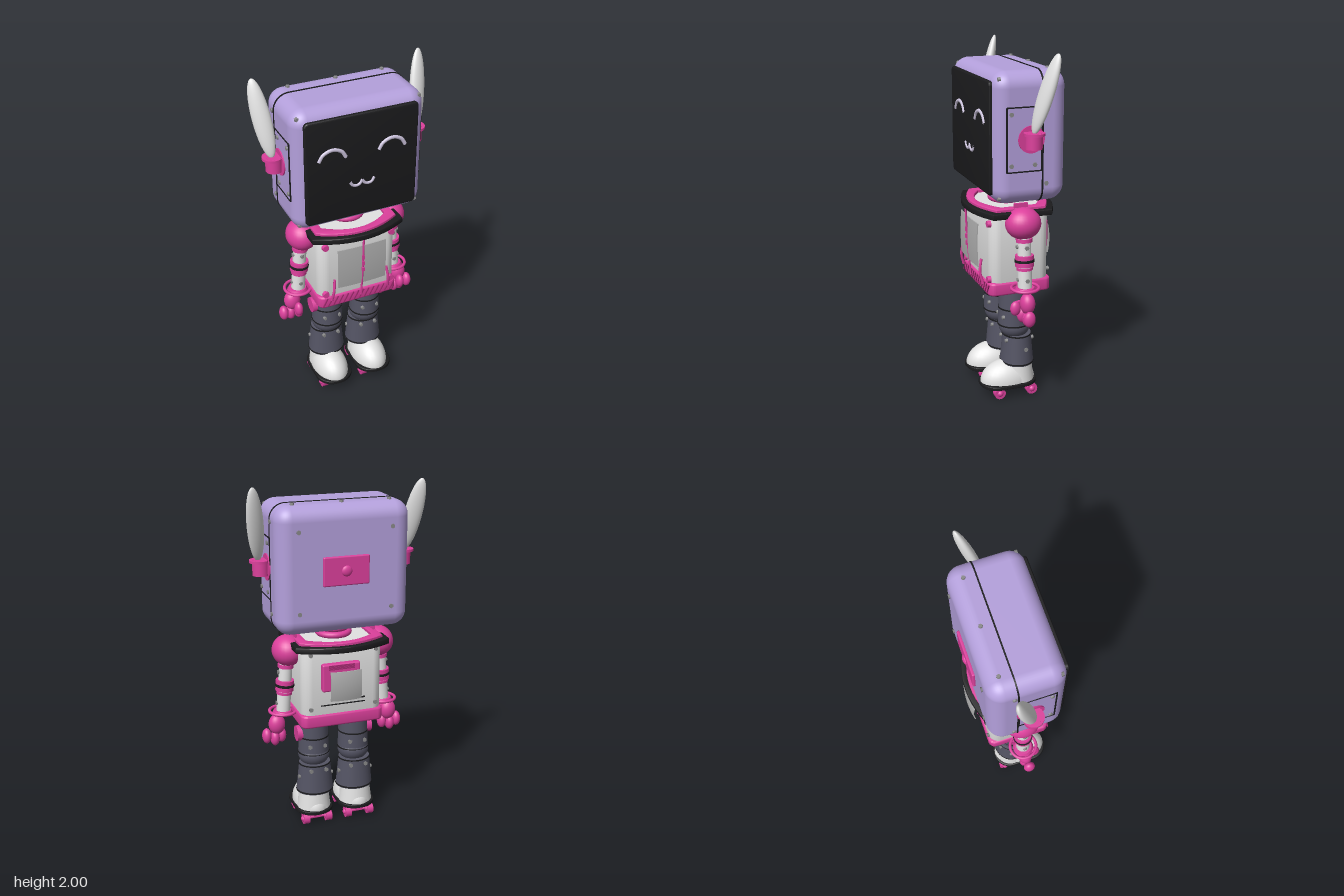
import * as THREE from 'three';
import { toCreasedNormals } from 'three/addons/utils/BufferGeometryUtils.js';
import { RoundedBoxGeometry } from 'three/addons/geometries/RoundedBoxGeometry.js';

const mat = (name, color) => {
  const m = new THREE.MeshStandardMaterial({ color, side: THREE.DoubleSide });
  m.name = name;
  return m;
};

export function createModel() {
  const root = new THREE.Group();
  root.name = 'robot';
  const lavender = mat('lavender', 0xb4a0dc), pink = mat('pink', 0xdc409c), black = mat('black', 0x1c1c1e),
    white = mat('white', 0xe2e2e2), grey = mat('panel grey', 0xb0b0b0), slate = mat('slate', 0x545464),
    steel = mat('steel', 0x8a8a8a), pale = mat('pale lilac', 0xcfc6e0), rose = mat('dark pink', 0xa82c74);

  const add = (name, geo, m, x = 0, y = 0, z = 0, parent = root) => {
    const mesh = new THREE.Mesh(geo, m);
    mesh.name = name;
    mesh.position.set(x, y, z);
    parent.add(mesh);
    return mesh;
  };
  const cyl = (rt, rb, h, n = 28) => new THREE.CylinderGeometry(rt, rb, h, n);
  const box = (w, h, d) => new THREE.BoxGeometry(w, h, d);
  const ball = (rx, ry = rx, rz = rx) => new THREE.SphereGeometry(1, 28, 18).scale(rx, ry, rz);

  // Rounded rectangle outline centred on the origin
  const roundRect = (w, h, r, T = THREE.Shape) => {
    const s = new T(), a = w / 2 - r, b = h / 2 - r;
    s.absarc(a, b, r, 0, Math.PI / 2);
    s.absarc(-a, b, r, Math.PI / 2, Math.PI);
    s.absarc(-a, -b, r, Math.PI, Math.PI * 1.5);
    s.absarc(a, -b, r, Math.PI * 1.5, Math.PI * 2);
    s.closePath();
    return s;
  };
  // Extrusion along z, centred
  const extrude = (shape, t, bevel = 0) => {
    const g = new THREE.ExtrudeGeometry(shape, { depth: t - 2 * bevel, curveSegments: 12, bevelEnabled: bevel > 0,
      bevelSize: bevel, bevelThickness: bevel, bevelOffset: -bevel, bevelSegments: 3 });
    return toCreasedNormals(g.translate(0, 0, -t / 2 + bevel), 0.6);
  };
  // Extrusion along y, centred
  const slab = (shape, t, bevel = 0) => extrude(shape, t, bevel).rotateX(-Math.PI / 2);
  const tube = (points, r) => new THREE.TubeGeometry(
    new THREE.CatmullRomCurve3(points.map(p => new THREE.Vector3(...p))), 20, r, 8);

  // Head shell, seam and face screen
  add('head', new RoundedBoxGeometry(0.75, 0.7, 0.41, 6, 0.085), lavender, 0, 1.55, -0.005);
  add('headSeam', extrude(roundRect(0.757, 0.707, 0.088), 0.008), black, 0, 1.55, -0.065);
  add('faceScreen', extrude(roundRect(0.64, 0.6, 0.025), 0.03, 0.008), black, 0, 1.55, 0.196);

  // Smiling eyes and mouth
  for (const s of [-1, 1]) {
    add('eye', tube([[-0.076, -0.03, 0], [-0.052, 0.006, 0], [0, 0.025, 0], [0.052, 0.006, 0], [0.076, -0.03, 0]], 0.011),
      pale, s * 0.17, 1.652, 0.209);
    add('mouth', tube([[-0.036, 0.014, 0], [-0.02, -0.01, 0], [0, -0.016, 0], [0.02, -0.01, 0], [0.036, 0.014, 0]], 0.009),
      pale, s * 0.035, 1.453, 0.209);
  }

  // Back plate with button
  add('backPlate', new RoundedBoxGeometry(0.26, 0.16, 0.02, 2, 0.008), pink, 0, 1.55, -0.215);
  add('backButton', ball(0.03, 0.03, 0.015), pink, 0, 1.55, -0.223);

  // Hex-head bolts, pointed along a chosen axis
  const bolt = (x, y, z, axis, m = steel, r = 0.013, parent = root) => {
    const g = cyl(r * 0.8, r, 0.014, 6);
    if (axis === 'x') g.rotateZ(Math.PI / 2);
    if (axis === 'z') g.rotateX(Math.PI / 2);
    add('bolt', g, m, x, y, z, parent);
  };
  for (const x of [-0.27, 0, 0.27]) bolt(x, 1.902, -0.13, 'y');
  for (const s of [-1, 1]) {
    for (const t of [-1, 1]) {
      bolt(s * 0.34, 1.55 + t * 0.312, 0.165, 'z');
      bolt(s * 0.26, 1.55 + t * 0.22, -0.211, 'z');
      bolt(s * 0.376, 1.56 + t * 0.25, -0.085, 'x');
      bolt(s * 0.376, 1.55 + t * 0.135, 0.11, 'x');
      bolt(s * 0.376, 1.55 + t * 0.135, -0.02, 'x');
    }
    // Side hatch outline
    const frame = roundRect(0.2, 0.345, 0.005);
    frame.holes.push(roundRect(0.186, 0.331, 0.005, THREE.Path));
    add('sideHatch', extrude(frame, 0.006).rotateY(Math.PI / 2), black, s * 0.375, 1.55, 0.037);

    // Ear socket and blade
    add('earDisc', cyl(0.073, 0.073, 0.02).rotateZ(Math.PI / 2), pink, s * 0.372, 1.55, 0);
    add('earSocket', cyl(0.046, 0.046, 0.085), pink, s * 0.41, 1.55, 0);
    add('earFlange', cyl(0.056, 0.056, 0.014), pink, s * 0.417, 1.585, 0);
    const blade = add('earBlade', ball(0.05, 0.215, 0.03), white, s * 0.447, 1.79, -0.05);
    blade.rotation.set(-0.22, s * 0.35, -s * 0.13);
  }

  // Neck
  add('neck', cyl(0.07, 0.08, 0.12), pink, 0, 1.17);
  for (const [y, r] of [[1.15, 0.105], [1.185, 0.095]])
    add('neckRing', new THREE.TorusGeometry(r - 0.018, 0.018, 12, 32).rotateX(Math.PI / 2), pink, 0, y);

  // Torso, collar and belt
  add('torso', slab(roundRect(0.47, 0.345, 0.06), 0.4, 0.01), white, 0, 0.91);
  const collarOutline = (w, d, T = THREE.Shape) => {
    const s = new T();
    s.moveTo(-w, -d);
    s.quadraticCurveTo(0, -d - 0.15, w, -d);
    s.lineTo(w, d);
    s.quadraticCurveTo(0, d + 0.15, -w, d);
    s.closePath();
    return s;
  };
  const ring = (w, d, t) => {
    const s = collarOutline(w, d);
    s.holes.push(collarOutline(w - 0.05, d - 0.04, THREE.Path));
    return slab(s, t, 0.005);
  };
  add('collar', ring(0.272, 0.168, 0.034), black, 0, 1.113);
  add('collarRim', ring(0.242, 0.14, 0.02), pink, 0, 1.135);
  add('shoulderPlate', slab(collarOutline(0.23, 0.12), 0.02), white, 0, 1.118);
  add('belt', slab(roundRect(0.485, 0.365, 0.04), 0.075, 0.012), pink, 0, 0.685);
  for (let i = 0; i < 14; i++) {
    const stripe = add('beltStripe', box(0.008, 0.062, 0.006), rose, -0.208 + i * 0.032, 0.686, 0.183);
    stripe.rotation.z = -0.5;
  }
  for (const s of [-1, 1]) for (const y of [0.74, 1.06]) {
    add('torsoKnob', cyl(0.018, 0.02, 0.02, 12).rotateX(Math.PI / 2), pink, s * 0.2, y, 0.175);
    bolt(s * 0.19, y + 0.02, -0.176, 'z');
  }

  // Curved plate bulging along z
  const curvedPlate = (w, h, bulge) => {
    const g = new THREE.BoxGeometry(w, h, 0.006, 12, 12, 1), p = g.attributes.position;
    for (let i = 0; i < p.count; i++) {
      const u = p.getX(i) / w * 2, v = p.getY(i) / h * 2;
      p.setZ(i, p.getZ(i) - bulge * (0.5 * u * u + 0.5 * v * v));
    }
    g.computeVertexNormals();
    return g;
  };
  add('chestPanel', curvedPlate(0.29, 0.25, 0.012), grey, 0, 0.925, 0.229);
  add('chestStrap', tube([[0, 1.1, 0.24], [0, 0.98, 0.235], [0, 0.85, 0.226], [0, 0.71, 0.214]], 0.006), pink);
  for (const y of [0.9, 0.94, 0.98]) add('chestClasp', box(0.014, 0.025, 0.01), pink, 0, y, 0.237);
  for (const s of [-1, 1])
    add('sideStrap', tube([[s * 0.16, 0.85, 0.205], [s * 0.168, 0.78, 0.215], [s * 0.175, 0.71, 0.2]], 0.008), pink);

  // Back pack, cover and vents
  add('backPack', new RoundedBoxGeometry(0.22, 0.16, 0.04, 2, 0.01), pink, 0.02, 0.945, -0.185);
  for (let i = 0; i < 4; i++) add('packGroove', box(0.15, 0.006, 0.006), rose, 0.02, 0.995 + i * 0.007, -0.204);
  add('backCover', curvedPlate(0.18, 0.17, 0.018).rotateY(Math.PI), grey, 0, 0.9, -0.238);
  add('backVent', box(0.26, 0.006, 0.006), black, 0, 0.775, -0.173);
  add('backVent', box(0.06, 0.008, 0.006), black, -0.1, 0.8, -0.173);

  // Arms
  for (const s of [-1, 1]) {
    const ax = y => s * (0.28 + (1.0 - y) * 0.07);
    add('shoulder', ball(0.09, 0.088, 0.1), pink, s * 0.268, 1.065, 0);
    add('shoulderTab', box(0.012, 0.06, 0.08), pink, s * 0.23, 1.14, 0);
    const arm = add('arm', cyl(0.037, 0.04, 0.31), white, ax(0.85), 0.85, 0);
    arm.rotation.z = s * 0.07;
    for (const [y, r, h, m] of [[0.975, 0.045, 0.02, pink], [0.88, 0.052, 0.022, pink], [0.86, 0.055, 0.012, black],
      [0.84, 0.052, 0.022, pink], [0.815, 0.045, 0.014, pink]])
      add('armBand', cyl(r, r, h), m, ax(y), y, 0).rotation.z = s * 0.07;
    for (const y of [0.94, 0.755]) {
      bolt(ax(y), y, 0.039, 'z');
      bolt(ax(y) + s * 0.039, y, 0, 'x');
    }
    add('cuff', new THREE.TorusGeometry(0.076, 0.009, 10, 32).rotateX(Math.PI / 2), pink, s * 0.303, 0.705, 0);
    add('cuffDisc', cyl(0.05, 0.06, 0.02), pink, s * 0.305, 0.7, 0);
    // Hand
    add('palm', ball(0.048, 0.06, 0.042), pink, s * 0.34, 0.625, 0);
    for (const [x, y, z] of [[0.31, 0.55, 0.015], [0.353, 0.54, 0], [0.398, 0.555, 0.01]])
      add('finger', ball(0.027, 0.045, 0.034), pink, s * x, y, z);
    add('thumb', ball(0.024, 0.042, 0.03), pink, s * 0.325, 0.6, 0.065);
  }

  // Legs: trousers in segments with dark seams
  for (const s of [-1, 1]) {
    const x = s * 0.122;
    add('hipDisc', cyl(0.045, 0.045, 0.03).rotateZ(Math.PI / 2), pink, s * 0.212, 0.55, 0);
    add('thigh', cyl(0.082, 0.09, 0.25), slate, x, 0.545, 0);
    add('knee', ball(0.092, 0.075, 0.09), slate, x, 0.415, -0.005);
    add('shin', cyl(0.092, 0.11, 0.18).scale(1, 1, 0.87), slate, x, 0.28, -0.02);
    for (const [y, r, z] of [[0.53, 0.089, 0], [0.43, 0.093, 0], [0.365, 0.095, -0.018], [0.198, 0.111, -0.02]])
      add('legSeam', cyl(r, r, 0.008).scale(1, 1, y < 0.4 ? 0.88 : 1), black, x, y, z);
    for (const d of [-1, 1]) {
      bolt(x + d * 0.045, 0.485, 0.078, 'z');
      bolt(x + d * 0.045, 0.34, 0.06, 'z');
      bolt(x + d * 0.045, 0.485, -0.078, 'z');
      bolt(x + d * 0.045, 0.34, -0.096, 'z');
      bolt(x + d * 0.098, 0.29, -0.04, 'x');
    }

    // Boot, sole and skate wheels
    const bx = s * 0.13;
    const toe = new THREE.SphereGeometry(1, 28, 12, 0, Math.PI * 2, 0, Math.PI / 2).scale(0.104, 0.125, 0.163);
    add('boot', toe, white, bx, 0.082, 0.04);
    add('bootAnkle', cyl(0.085, 0.1, 0.115).scale(1, 1, 0.95), white, bx, 0.14, -0.022);
    add('sole', slab(roundRect(0.222, 0.335, 0.1), 0.022, 0.006), black, bx, 0.075, 0.04);
    for (const z of [0.113, -0.082]) {
      add('axle', cyl(0.01, 0.01, 0.14, 10).rotateZ(Math.PI / 2), pink, bx, 0.035, z);
      add('truck', box(0.04, 0.035, 0.03), pink, bx, 0.052, z);
      for (const d of [-1, 1]) {
        add('wheel', cyl(0.033, 0.033, 0.036, 20).rotateZ(Math.PI / 2), pink, bx + d * 0.068, 0.033, z);
        add('wheelCap', ball(0.03, 0.022, 0.022), pink, bx + d * 0.068, 0.033, z);
      }
    }
  }
  return root;
}
